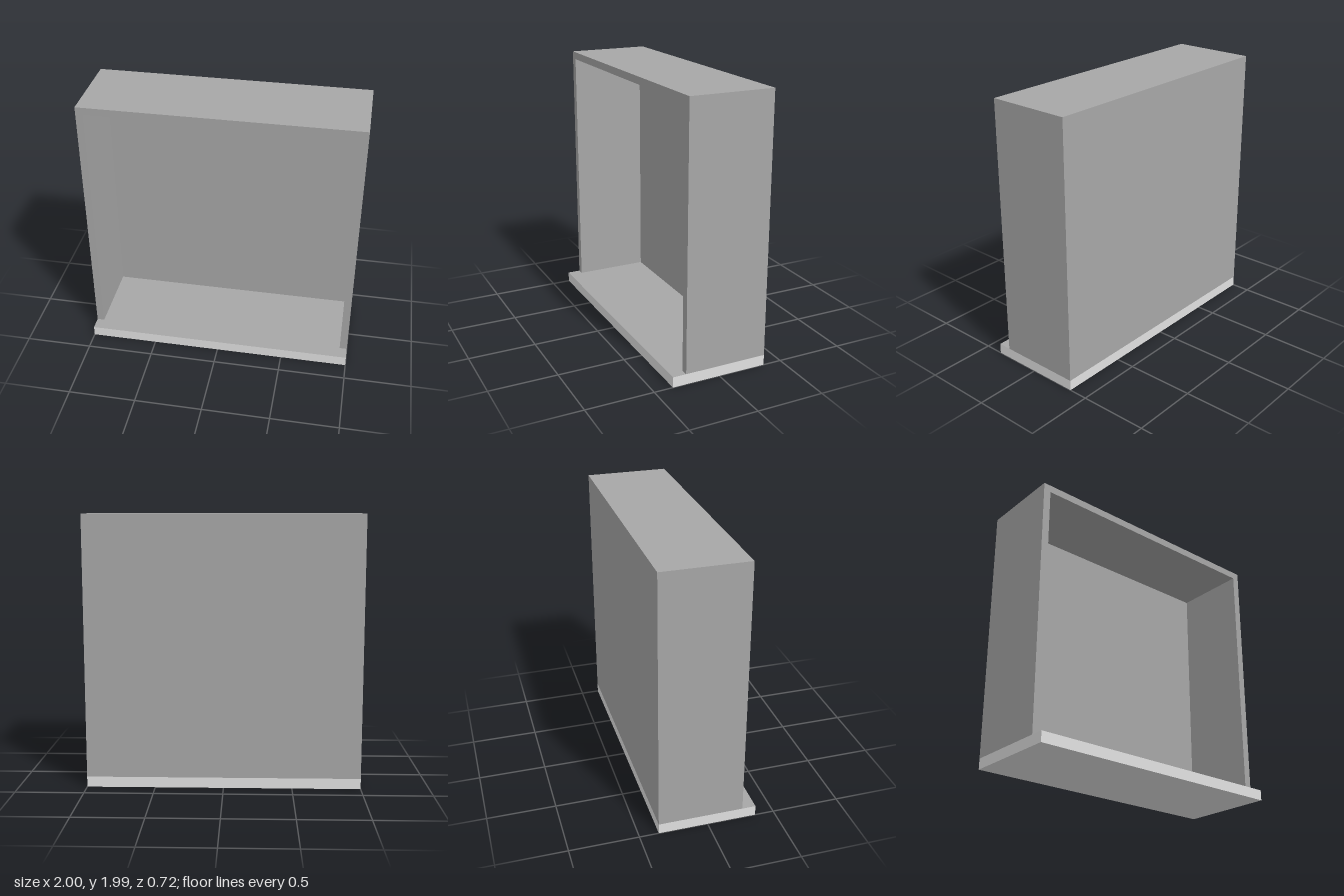
import * as THREE from 'three';

export function createModel() {
  const group = new THREE.Group();
  const bodyGray = new THREE.MeshStandardMaterial({ name: 'bodyGray', color: 0xa7a7a7 });
  const baseGray = new THREE.MeshStandardMaterial({ name: 'baseGray', color: 0xe1e1e1 });

  const top = 1.985, baseHeight = 0.077, wall = 0.055;
  const back = -0.36, front = 0.26, baseFront = 0.36;

  const add = (name, geometry, material, x, y, z) => {
    const mesh = new THREE.Mesh(geometry, material);
    mesh.name = name;
    mesh.position.set(x, y, z);
    group.add(mesh);
  };

  // Base slab: pale edges and underside, darker floor on top
  add('base', new THREE.BoxGeometry(2, baseHeight, baseFront - back),
    [baseGray, baseGray, bodyGray, baseGray, baseGray, baseGray],
    0, baseHeight / 2, (baseFront + back) / 2);

  // Side walls and top panel as one arch, open at the front
  const arch = new THREE.Shape([
    [-1, baseHeight], [-1 + wall, baseHeight], [-1 + wall, top - wall],
    [1 - wall, top - wall], [1 - wall, baseHeight], [1, baseHeight],
    [1, top], [-1, top],
  ].map(([x, y]) => new THREE.Vector2(x, y)));
  add('wallsAndTop',
    new THREE.ExtrudeGeometry(arch, { depth: front - back - wall, bevelEnabled: false }),
    bodyGray, 0, 0, back + wall);

  // Back panel closing the case
  add('backPanel', new THREE.BoxGeometry(2, top - baseHeight, wall),
    bodyGray, 0, (top + baseHeight) / 2, back + wall / 2);

  return group;
}
